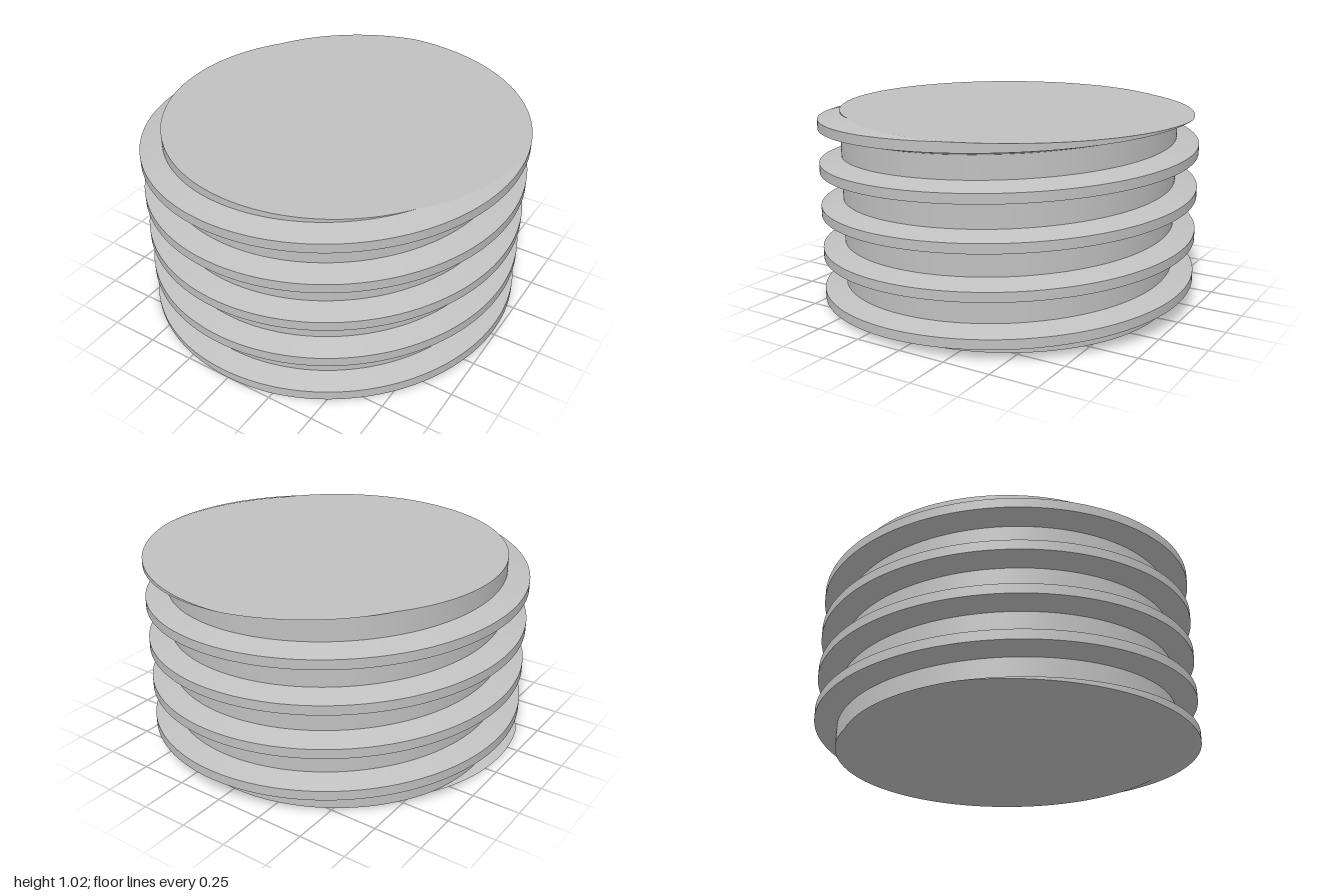
import * as THREE from 'three';
import { mergeGeometries } from 'three/addons/utils/BufferGeometryUtils.js';

const H = 1.024, PITCH = 0.229, ROOT = 0.885, CREST = 1;
const HALF_CREST = 0.025, HALF_ROOT = 0.056;
const SEG = 240, TURNS = 7;

// Height of the thread centre line at angle a (from +x towards -z) on turn k
const centre = (a, k) => 0.073 + PITCH * (a / (Math.PI * 2) + k);

// Radius of the threaded surface at angle a and height y
function radiusAt(a, y) {
  const t = (y - centre(a, 0)) / PITCH;
  const d = Math.abs(t - Math.round(t)) * PITCH;
  const f = THREE.MathUtils.clamp((HALF_ROOT - d) / (HALF_ROOT - HALF_CREST), 0, 1);
  return ROOT + (CREST - ROOT) * f;
}

// Helical band between two offsets from the thread line, clipped to the height
function bandGeometry(low, high, k) {
  const pos = [], index = [];
  for (let i = 0; i <= SEG; i++) {
    const a = (i / SEG) * Math.PI * 2;
    for (const offset of [low, high]) {
      const y = THREE.MathUtils.clamp(centre(a, k) + offset, 0, H);
      const r = radiusAt(a, y);
      pos.push(r * Math.cos(a), y, -r * Math.sin(a));
    }
    if (i < SEG) {
      const n = i * 2;
      index.push(n, n + 2, n + 3, n, n + 3, n + 1);
    }
  }
  const g = new THREE.BufferGeometry();
  g.setAttribute('position', new THREE.Float32BufferAttribute(pos, 3));
  g.setIndex(index);
  g.computeVertexNormals();
  return g;
}

// Flat end disc that follows the cut thread outline
function capGeometry(y, up) {
  const pos = [0, y, 0], index = [];
  for (let i = 0; i <= SEG; i++) {
    const a = (i / SEG) * Math.PI * 2, r = radiusAt(a, y);
    pos.push(r * Math.cos(a), y, -r * Math.sin(a));
    if (i < SEG) index.push(0, up ? i + 1 : i + 2, up ? i + 2 : i + 1);
  }
  const g = new THREE.BufferGeometry();
  g.setAttribute('position', new THREE.Float32BufferAttribute(pos, 3));
  g.setIndex(index);
  g.computeVertexNormals();
  return g;
}

export function createModel() {
  const group = new THREE.Group();
  group.name = 'threadedPlug';
  const steel = new THREE.MeshStandardMaterial({ color: 0xc0c0c0 });
  steel.name = 'grey metal';

  const add = (name, geometry) => {
    const mesh = new THREE.Mesh(geometry, steel);
    mesh.name = name;
    group.add(mesh);
  };

  // One helical band per face of the thread profile, repeated every turn
  const bands = {
    threadLowerFlank: [-HALF_ROOT, -HALF_CREST],
    threadCrest: [-HALF_CREST, HALF_CREST],
    threadUpperFlank: [HALF_CREST, HALF_ROOT],
    core: [HALF_ROOT, PITCH - HALF_ROOT],
  };
  for (const [name, [low, high]] of Object.entries(bands)) {
    const turns = [];
    for (let k = -2; k < TURNS - 1; k++) turns.push(bandGeometry(low, high, k));
    add(name, mergeGeometries(turns));
  }

  // End faces
  add('topFace', capGeometry(H, true));
  add('bottomFace', capGeometry(0, false));
  return group;
}
